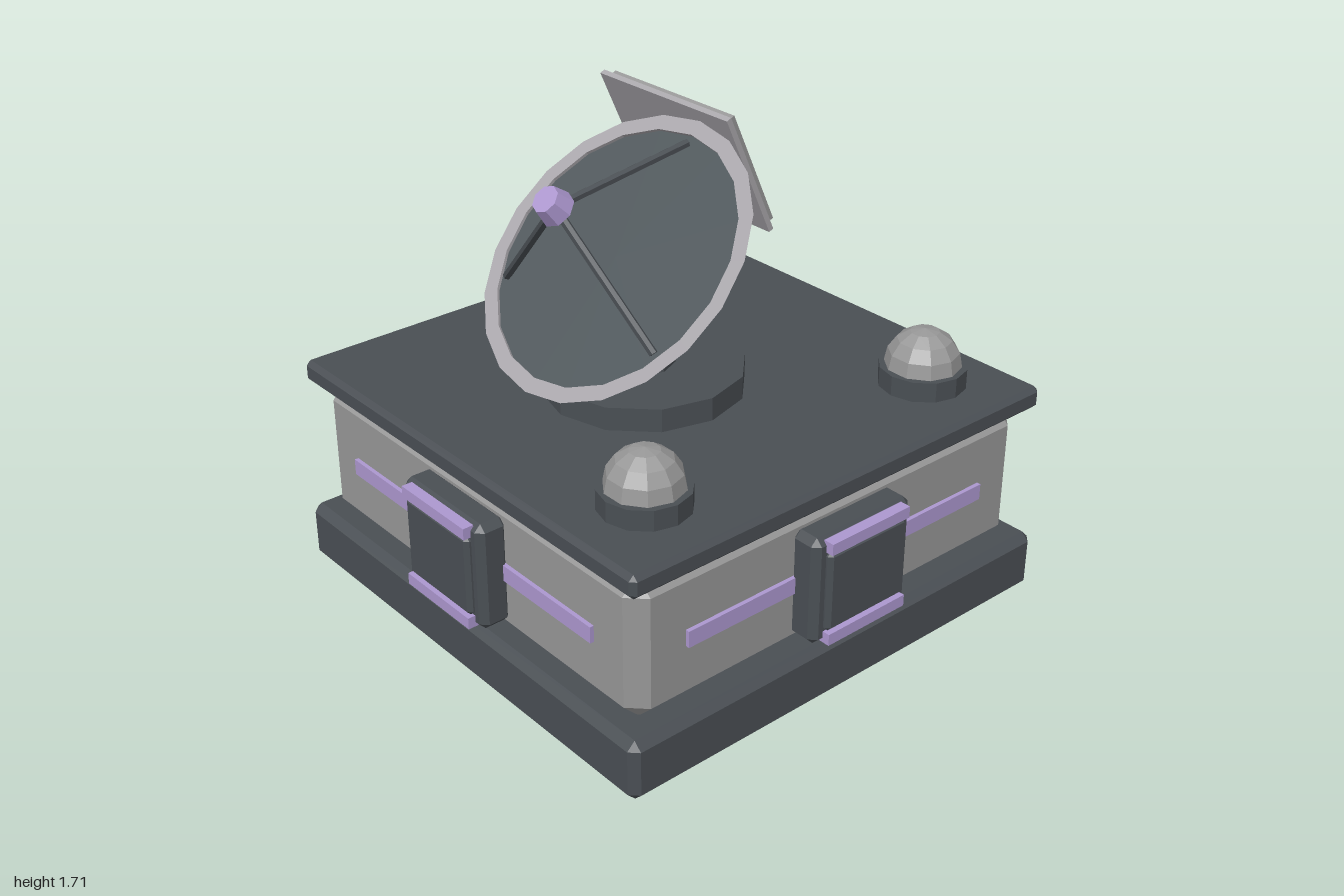
import * as THREE from 'three';
import { ConvexGeometry } from 'three/addons/geometries/ConvexGeometry.js';

const mat = (name, color) => {
  const m = new THREE.MeshStandardMaterial({ color });
  m.name = name;
  return m;
};

// Faceted normals
const flat = (geo) => {
  const g = geo.index ? geo.toNonIndexed() : geo;
  g.computeVertexNormals();
  return g;
};

// Box with every edge chamfered by b
const chamferBox = (w, h, d, b) => {
  const pts = [];
  for (const x of [-1, 1]) for (const y of [-1, 1]) for (const z of [-1, 1]) {
    const p = [x * w / 2, y * h / 2, z * d / 2], s = [x * b, y * b, z * b];
    for (let k = 0; k < 3; k++) {
      pts.push(new THREE.Vector3(...p.map((v, i) => (i === k ? v : v - s[i]))));
    }
  }
  return new ConvexGeometry(pts);
};

const box = (w, h, d) => new THREE.BoxGeometry(w, h, d);
const cyl = (rTop, rBottom, h, sides) => flat(new THREE.CylinderGeometry(rTop, rBottom, h, sides));

const add = (parent, name, geo, material, x = 0, y = 0, z = 0) => {
  const m = new THREE.Mesh(geo, material);
  m.name = name;
  m.position.set(x, y, z);
  parent.add(m);
  return m;
};

const group = (parent, name, x = 0, y = 0, z = 0) => {
  const g = new THREE.Group();
  g.name = name;
  g.position.set(x, y, z);
  parent.add(g);
  return g;
};

export function createModel() {
  const dark = mat('dark metal', 0x4a4f54);
  const grey = mat('wall grey', 0x979797);
  const light = mat('light grey', 0xaaa7ac);
  const purple = mat('purple trim', 0xad98d0);
  const dishFace = mat('dish face', 0x50585c);

  const model = new THREE.Group();
  model.name = 'communicationsStation';

  // Building
  add(model, 'base', chamferBox(1.87, 0.225, 1.87, 0.03), dark, 0, 0.1125, 0);
  add(model, 'walls', chamferBox(1.74, 0.525, 1.74, 0.06), grey, 0, 0.4775, 0);
  add(model, 'roof', chamferBox(1.83, 0.085, 1.83, 0.018), dark, 0, 0.775, 0);

  // Hatch and stripe on each side
  for (let i = 0; i < 4; i++) {
    const side = group(model, 'side' + (i + 1));
    side.rotation.y = i * Math.PI / 2;
    add(side, 'stripe', box(1.34, 0.06, 0.03), purple, 0, 0.475, 0.87);
    add(side, 'hatchFrame', chamferBox(0.44, 0.4, 0.12, 0.025), dark, 0, 0.475, 0.912);
    add(side, 'hatchPanel', chamferBox(0.35, 0.3, 0.05, 0.015), dark, 0, 0.475, 0.968);
    for (const s of [-1, 1]) {
      add(side, 'hatchTrim', box(0.35, 0.042, 0.04), purple, 0, 0.475 + s * 0.171, 0.98);
    }
  }

  // Roof domes
  for (const z of [-0.625, 0.625]) {
    add(model, 'domeBase', cyl(0.155, 0.155, 0.08, 12), dark, 0.625, 0.85, z);
    const dome = new THREE.SphereGeometry(0.135, 10, 4, 0, Math.PI * 2, 0, Math.PI / 2);
    add(model, 'dome', flat(dome), grey, 0.625, 0.89, z);
  }

  // Dish pedestal
  add(model, 'pedestal', cyl(0.36, 0.36, 0.09, 12), dark, 0, 0.857, 0.11);
  add(model, 'pedestalPost', cyl(0.112, 0.112, 0.24, 8), dark, 0, 0.985, 0.11);

  // Dish, tilted to the front, with its axis along local y
  const dish = group(model, 'dish', 0, 1.333, 0.235);
  dish.rotation.x = Math.PI / 4;
  const R = 0.535, r = 0.48, depth = 0.16, sides = 20;
  const bowl = [];
  for (let i = 0; i <= 5; i++) {
    const q = i / 5;
    bowl.push(new THREE.Vector2(R * q, -depth * (1 - q * q)));
  }
  add(dish, 'dishBack', flat(new THREE.LatheGeometry(bowl, sides)), grey);
  const rim = [[R, 0], [r, 0], [r, -0.012]].map((p) => new THREE.Vector2(...p));
  add(dish, 'dishRim', flat(new THREE.LatheGeometry(rim, sides)), light);
  const face = new THREE.CircleGeometry(r, sides).rotateX(-Math.PI / 2);
  add(dish, 'dishFace', face, dishFace, 0, -0.012, 0);
  add(dish, 'dishHub', cyl(0.135, 0.135, 0.17, 10), dark, 0, -0.185, 0);

  // Three struts carrying the feed
  const tip = new THREE.Vector3(0, 0.33, 0);
  for (let i = 0; i < 3; i++) {
    const a = Math.PI + i * Math.PI * 2 / 3;
    const foot = new THREE.Vector3(Math.sin(a) * 0.45, -0.005, Math.cos(a) * 0.45);
    const dir = tip.clone().sub(foot);
    const strut = add(dish, 'strut', cyl(0.015, 0.015, dir.length(), 6), dark);
    strut.position.copy(foot).addScaledVector(dir, 0.5);
    strut.quaternion.setFromUnitVectors(new THREE.Vector3(0, 1, 0), dir.normalize());
  }
  add(dish, 'feed', cyl(0.05, 0.065, 0.068, 8), purple, 0, 0.35, 0);

  // Solar panel mast
  const mast = group(model, 'mast', -0.54, 0, -0.533);
  add(mast, 'mastPost', cyl(0.045, 0.045, 0.28, 8), dark, 0, 0.95, 0);
  add(mast, 'mastCollar', cyl(0.088, 0.088, 0.045, 8), dark, 0, 1.092, 0);
  add(mast, 'mastRing', cyl(0.062, 0.062, 0.045, 8), grey, 0, 1.137, 0);
  add(mast, 'mastTip', chamferBox(0.06, 0.1, 0.06, 0.012), grey, 0, 1.2, 0);

  // Solar panel, its cells facing back and up
  const panel = group(model, 'solarPanel', -0.535, 1.357, -0.55);
  panel.rotation.x = 0.43;
  add(panel, 'panelFrame', box(0.71, 0.53, 0.022), light);
  add(panel, 'panelCells', box(0.665, 0.49, 0.03), grey, 0, 0, -0.026);
  for (const y of [-0.14, 0, 0.14]) {
    add(panel, 'gridBar', box(0.58, 0.012, 0.012), light, 0, y, -0.045);
  }
  for (const x of [-0.145, 0.145]) {
    add(panel, 'gridBar', box(0.02, 0.42, 0.016), light, x, 0, -0.045);
  }

  return model;
}
